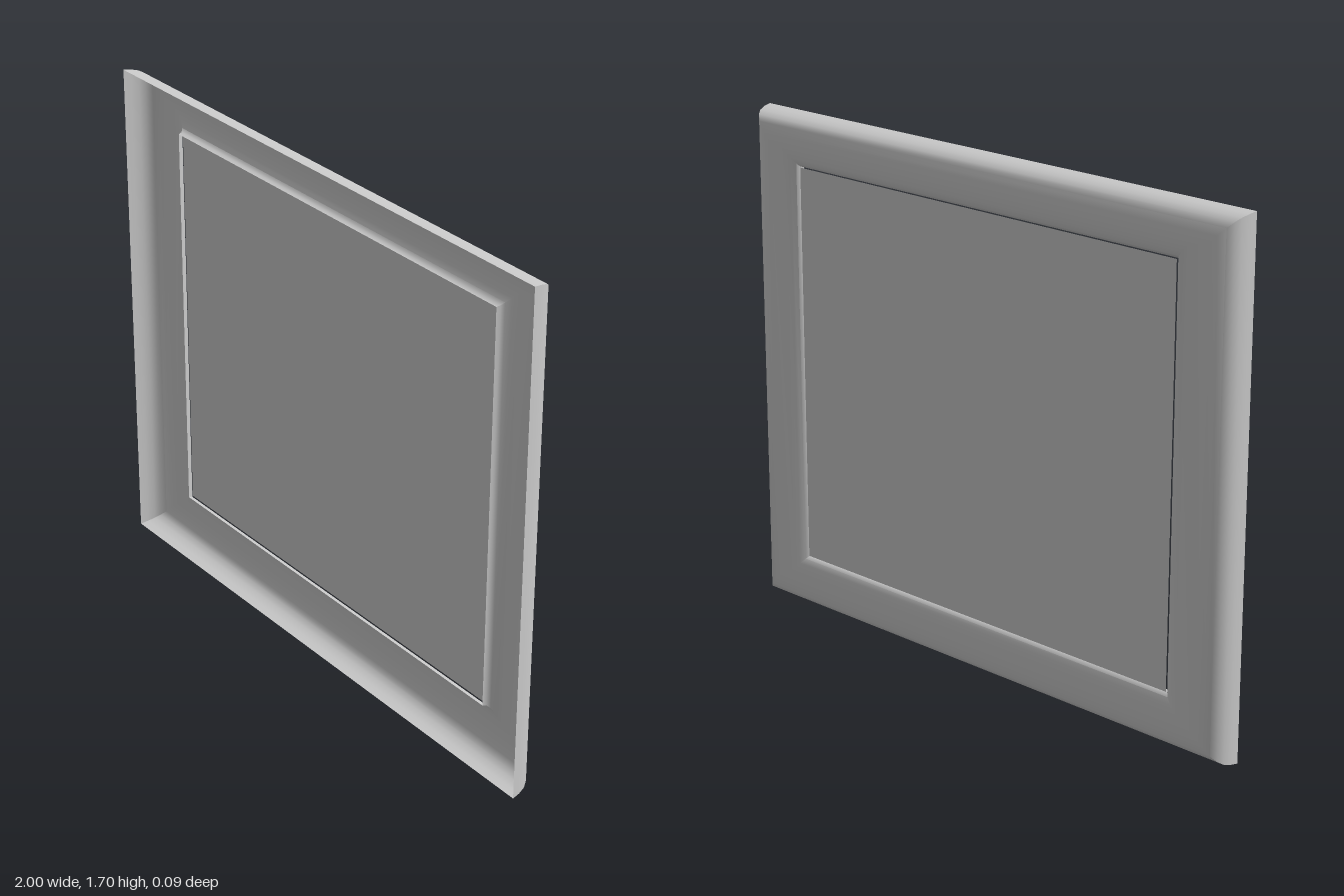
import * as THREE from 'three';
import { toCreasedNormals } from 'three/addons/utils/BufferGeometryUtils.js';

const OUTER = { left: -1, right: 1, bottom: 0, top: 1.7 };
const INNER = { left: -0.78, right: 0.78, bottom: 0.19, top: 1.535 };

// rectangular loop lying an inset away from a rectangle (negative = outside it)
function loop(rect, inset, z) {
  const l = rect.left + inset, r = rect.right - inset;
  const b = rect.bottom + inset, t = rect.top - inset;
  return [[l, b, z], [r, b, z], [r, t, z], [l, t, z]];
}

// skin quads between consecutive rectangular loops
function loft(loops) {
  const index = [];
  for (let i = 0; i < loops.length - 1; i++) {
    for (let j = 0; j < 4; j++) {
      const a = i * 4 + j, b = i * 4 + (j + 1) % 4;
      index.push(a, a + 4, b, b, a + 4, b + 4);
    }
  }
  const geometry = new THREE.BufferGeometry();
  geometry.setAttribute('position', new THREE.Float32BufferAttribute(loops.flat(2), 3));
  geometry.setIndex(index);
  return toCreasedNormals(geometry, 0.85);
}

export function createModel() {
  const group = new THREE.Group();
  const material = new THREE.MeshStandardMaterial({ color: 0xcccccc, side: THREE.DoubleSide });

  // hollow moulding: open towards the front, rounded at the back
  const outerProfile = [[0, 0.047], [0.004, 0.02], [0.011, -0.005], [0.022, -0.022], [0.04, -0.036], [0.065, -0.044], [0.09, -0.047]];
  const innerProfile = [[-0.055, -0.047], [-0.03, -0.043], [-0.012, -0.034], [-0.003, -0.025], [0, -0.012]];
  const frame = new THREE.Mesh(loft([
    ...outerProfile.map(([inset, z]) => loop(OUTER, inset, z)),
    ...innerProfile.map(([inset, z]) => loop(INNER, inset, z)),
  ]), material);
  frame.name = 'frame';
  group.add(frame);

  // flat sheet set into the opening
  const panel = new THREE.Mesh(
    new THREE.PlaneGeometry(INNER.right - INNER.left, INNER.top - INNER.bottom), material);
  panel.position.set(0, (INNER.top + INNER.bottom) / 2, -0.028);
  panel.name = 'panel';
  group.add(panel);

  return group;
}
